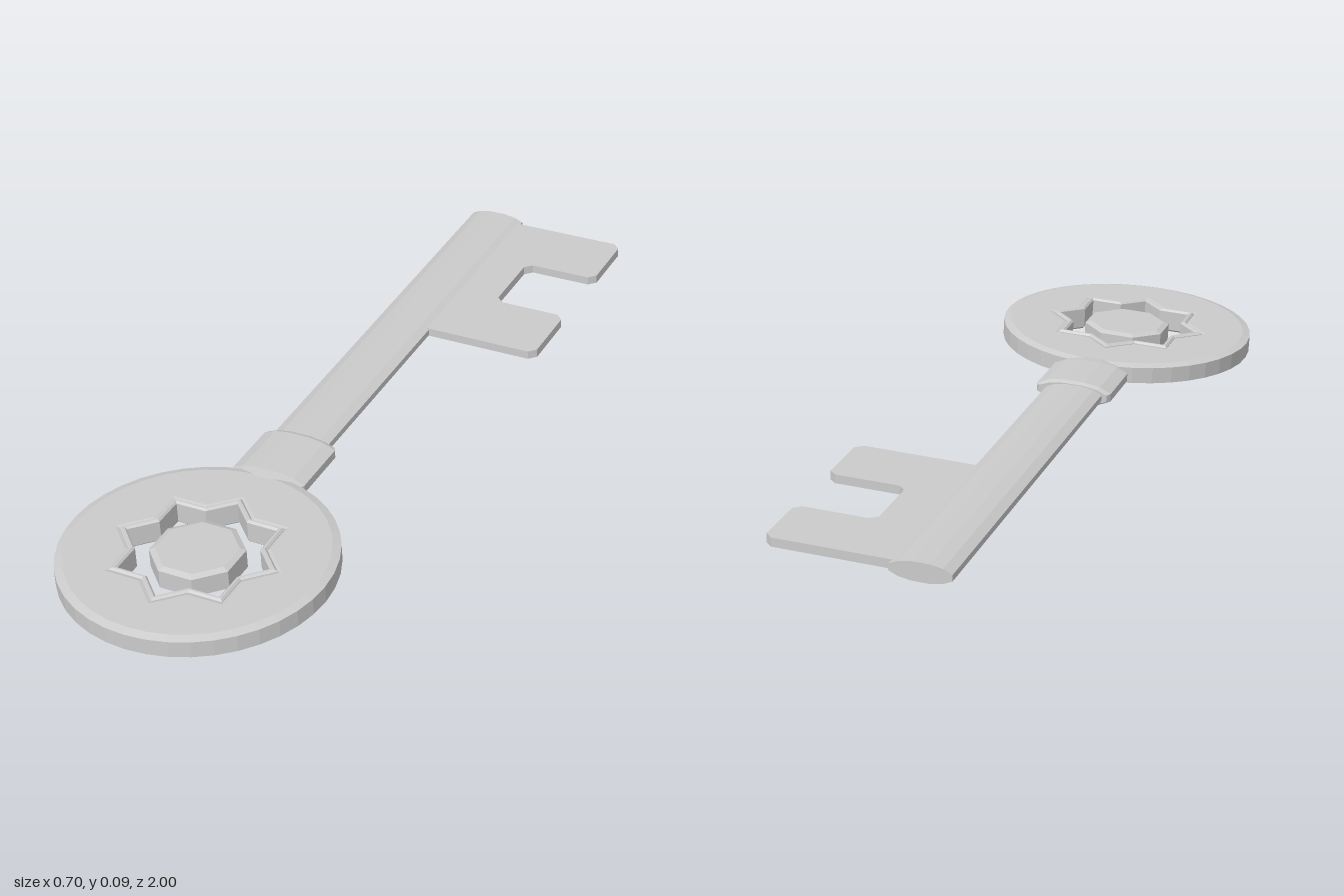
import * as THREE from 'three';

const material = new THREE.MeshStandardMaterial({ color: 0xcccccc, flatShading: true });
const BOW_Z = 0.667;

function ringPoints(count, radiusAt, phase = 0) {
  return Array.from({ length: count }, (_, i) => {
    const a = (i / count) * Math.PI * 2 + phase;
    return new THREE.Vector2(Math.cos(a) * radiusAt(i), Math.sin(a) * radiusAt(i));
  });
}

// Eight-pointed star: a square crossed with a diamond
const star = (scale) => ringPoints(16, (i) => (i % 2 ? 0.146 : 0.19) * scale);

// Flat plate lying in the xz plane, centred on y = 0, with chamfered edges
function plate(points, hole, half, chamferHeight, chamferWidth) {
  const shape = new THREE.Shape(points);
  if (hole) shape.holes.push(new THREE.Path(hole));
  const depth = 2 * (half - chamferHeight);
  const geo = new THREE.ExtrudeGeometry(shape, {
    depth, bevelEnabled: chamferHeight > 0, bevelThickness: chamferHeight,
    bevelSize: chamferWidth, bevelOffset: -chamferWidth, bevelSegments: 1,
  });
  geo.translate(0, 0, -depth / 2);
  geo.rotateX(Math.PI / 2);
  return geo;
}

// Flattened twelve-sided bar lofted through [z, half width, half height] sections
function bar(sections) {
  const quarter = [[1, 0.35], [0.7, 0.78], [0.28, 1]];
  const right = [...quarter, ...quarter.map(([x, y]) => [-x, y]).reverse()];
  const profile = [...right, ...right.map(([x, y]) => [-x, -y])];
  const n = profile.length;
  const pos = [];
  const idx = [];
  for (const [z, w, h] of sections) for (const [x, y] of profile) pos.push(x * w, y * h, z);
  for (let s = 0; s < sections.length - 1; s++) {
    for (let i = 0; i < n; i++) {
      const a = s * n + i;
      const b = s * n + ((i + 1) % n);
      idx.push(a, b, b + n, a, b + n, a + n);
    }
  }
  const last = (sections.length - 1) * n;
  for (let i = 1; i < n - 1; i++) {
    idx.push(0, i + 1, i, last, last + i, last + i + 1);
  }
  const geo = new THREE.BufferGeometry();
  geo.setAttribute('position', new THREE.Float32BufferAttribute(pos, 3));
  geo.setIndex(idx);
  const flat = geo.toNonIndexed();
  flat.computeVertexNormals();
  return flat;
}

export function createModel() {
  const model = new THREE.Group();
  const key = new THREE.Group();
  key.name = 'key';
  model.add(key);

  const add = (name, geo, x = 0, z = 0) => {
    const mesh = new THREE.Mesh(geo, material);
    mesh.name = name;
    mesh.position.set(x, 0, z);
    key.add(mesh);
  };

  // Round bow with a star-shaped opening (hole sits under the raised star rim)
  add('bow', plate(ringPoints(40, () => 0.333), star(1.02), 0.027, 0.006, 0.02), 0, BOW_Z);
  add('starRim', plate(star(1.11), star(1), 0.031, 0.005, 0.005), 0, BOW_Z);

  // Loose octagonal boss in the middle of the star
  add('bowCentre', plate(ringPoints(8, () => 0.114, Math.PI / 8), null, 0.03, 0.006, 0.014), 0, BOW_Z);

  // Collar tapering into the bow
  add('collar', bar([
    [0.16, 0.09, 0.025], [0.172, 0.0975, 0.03], [0.33, 0.0975, 0.03], [0.38, 0.075, 0.025],
  ]), 0.0025);

  // Shaft
  add('shaft', bar([[-1, 0.0735, 0.023], [0.2, 0.0735, 0.023]]), -0.001);

  // Bit with two teeth and clipped corners (x, z outline)
  const c = 0.018;
  const outline = [
    [0.04, -0.985], [0.37 - c, -0.985], [0.37, -0.985 + c], [0.37, -0.8 - c], [0.37 - c, -0.8],
    [0.175 + c, -0.8], [0.175, -0.8 + c], [0.175, -0.6 - c], [0.175 + c, -0.6],
    [0.37 - c, -0.6], [0.37, -0.6 + c], [0.37, -0.41 - c], [0.37 - c, -0.41], [0.04, -0.41],
  ].map(([x, z]) => new THREE.Vector2(x, z));
  add('bit', plate(outline, null, 0.011, 0, 0));

  // The whole key rests slightly tilted
  key.position.set(-0.02, 0.041, 0);
  key.rotation.z = 0.0575;
  return model;
}
